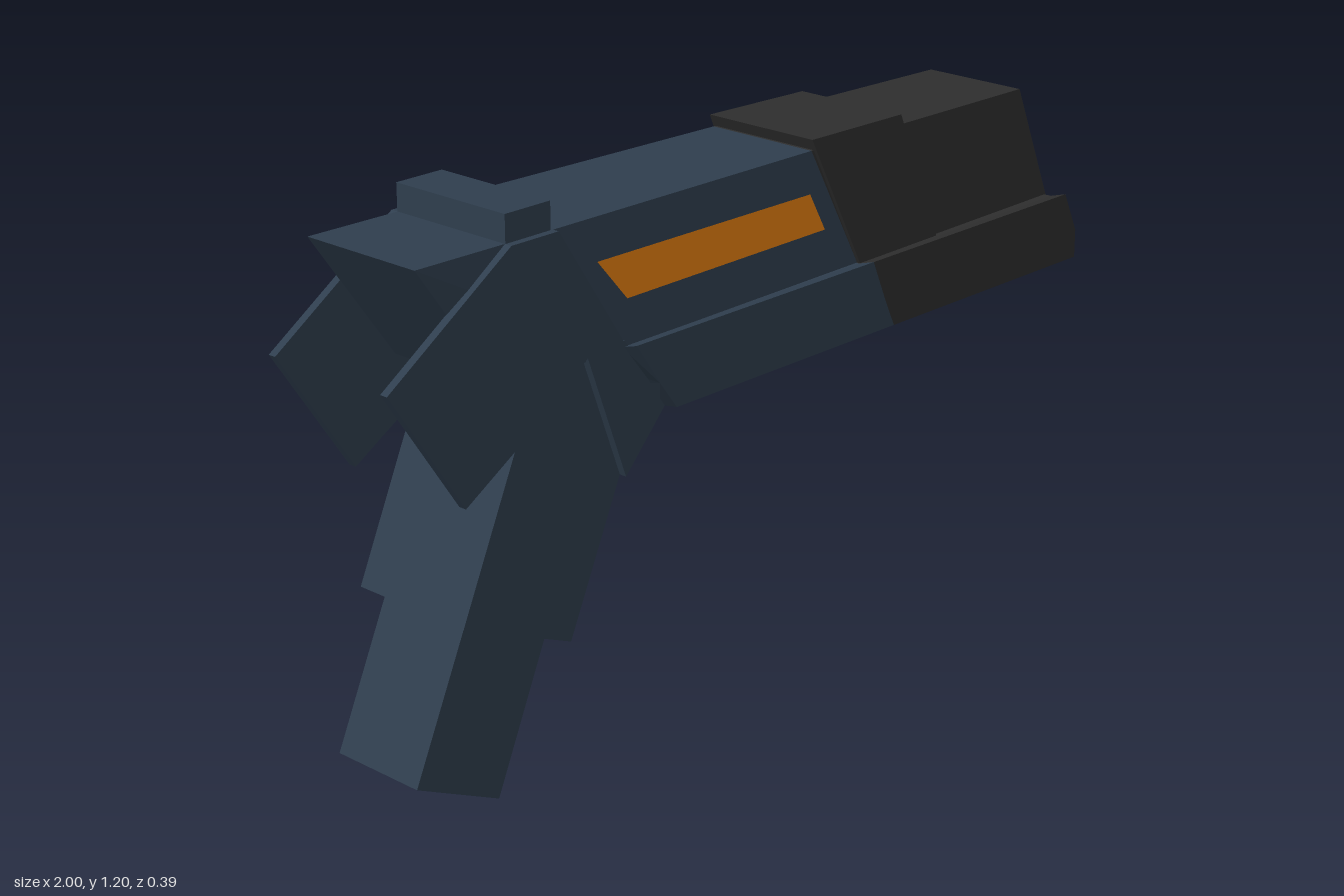
import * as THREE from 'three';

const paint = (color) => new THREE.MeshStandardMaterial({ color, flatShading: true });
const BLUE = paint(0x2f3e4e), DARK = paint(0x2e2e2e), ORANGE = paint(0xe07c10);

export function createModel() {
  const model = new THREE.Group();
  const add = (name, geometry, material) => {
    const mesh = new THREE.Mesh(geometry, material);
    mesh.name = name;
    model.add(mesh);
  };

  // Side profile extruded across z from z0 to z1
  const slab = (name, pts, z0, z1, material) => {
    const shape = new THREE.Shape(pts.map(([x, y]) => new THREE.Vector2(x, y)));
    const g = new THREE.ExtrudeGeometry(shape, { depth: z1 - z0, bevelEnabled: false });
    g.translate(0, 0, z0);
    add(name, g, material);
  };

  // Half section [x, y, z] from top to bottom on +z, mirrored to a full ring
  const ring = (half) => [
    ...half,
    ...half.filter((p) => p[2] > 0).reverse().map(([x, y, z]) => [x, y, -z]),
  ];

  // Closed solid through rings ordered from rear to front
  const loft = (name, halves, material) => {
    const rings = halves.map(ring), n = rings[0].length, pos = [];
    const tri = (a, b, c) => pos.push(...a, ...b, ...c);
    for (let s = 0; s < rings.length - 1; s++) {
      for (let i = 0; i < n; i++) {
        const j = (i + 1) % n, r = rings[s], f = rings[s + 1];
        tri(r[i], r[j], f[j]);
        tri(r[i], f[j], f[i]);
      }
    }
    const rear = rings[0], front = rings[rings.length - 1];
    const flat = (r) => r.map((p) => new THREE.Vector2(-p[2], p[1]));
    for (const [a, b, c] of THREE.ShapeUtils.triangulateShape(flat(front), [])) tri(front[a], front[b], front[c]);
    for (const [a, b, c] of THREE.ShapeUtils.triangulateShape(flat(rear), [])) tri(rear[a], rear[c], rear[b]);
    const g = new THREE.BufferGeometry();
    g.setAttribute('position', new THREE.Float32BufferAttribute(pos, 3));
    g.computeVertexNormals();
    add(name, g, material);
  };

  // Half width of the tapering upper body at a given x and y
  const width = (x, y) => 0.146 - 0.016 * Math.max(0, x + 0.57) + 0.06 * (1.13 - y);
  const upper = (xTop, yTop, xLow, grow = 0) => [
    [xTop, yTop, width(xTop, yTop) + grow],
    [xLow, 0.86, width(xLow, 0.86) + grow],
  ];

  // Upper body, split on a slanted line into rear and muzzle
  const rearEnd = [[-0.91, 1.14, 0.146], [-0.71, 0.86, 0.146]];
  const waist = [[-0.57, 1.137, 0.146], [-0.385, 0.86, 0.158]];
  loft('upperBody', [rearEnd, waist, upper(0.17, 1.13, 0.305)], BLUE);
  loft('muzzle', [upper(0.17, 1.13, 0.305), upper(0.87, 1.12, 0.963)], DARK);
  loft('muzzleCollar', [upper(0.165, 1.155, 0.305, 0.008), upper(0.45, 1.15, 0.56, 0.008)], DARK);

  // Wide lower rail, with a V groove below that deepens toward the nose
  const rail = (x, apexX, apexY) => [
    [x[0], 0.865, 0.155], [x[0], 0.877, 0.195], [x[1], 0.785, 0.195],
    [x[2], 0.722, 0.195], [x[2], 0.715, 0.15], [apexX, apexY, 0],
  ];
  const railRear = rail([-0.4, -0.337, -0.29], -0.29, 0.72);
  const railSplit = rail([0.3, 0.34, 0.37], 0.37, 0.755);
  const railNose = rail([0.957, 1, 1], 0.998, 0.79);
  loft('rearRail', [railRear, railSplit], BLUE);
  loft('frontRail', [railSplit, railNose], DARK);

  // Side stripes lying just proud of the tapered sides
  for (const side of [1, -1]) {
    const pts = [[-0.46, 1.05], [-0.385, 0.96], [0.2, 0.96], [0.158, 1.043]]
      .map(([x, y]) => [x, y, side * (width(x, y) + 0.003)]);
    const order = side > 0 ? [0, 1, 2, 0, 2, 3] : [0, 2, 1, 0, 3, 2];
    const g = new THREE.BufferGeometry();
    g.setAttribute('position', new THREE.Float32BufferAttribute(order.flatMap((i) => pts[i]), 3));
    g.computeVertexNormals();
    add(side > 0 ? 'leftStripe' : 'rightStripe', g, ORANGE);
  }

  // Thin rear cheek plates
  const cheek = [[-1, 0.93], [-0.82, 0.66], [-0.68, 0.745], [-0.5, 0.87], [-0.4, 0.875], [-0.57, 1.138], [-0.69, 1.138]];
  slab('leftCheekPlate', cheek, 0.145, 0.163, BLUE);
  slab('rightCheekPlate', cheek, -0.163, -0.145, BLUE);

  // Solid block joining body and grip
  slab('gripBlock', [[-0.5, 0.872], [-0.4, 0.6], [-0.29, 0.718], [-0.4, 0.88]], -0.163, 0.163, BLUE);

  // Two-stage grip
  slab('upperGrip', [[-0.82, 0.41], [-0.54, 0.29], [-0.4, 0.6], [-0.45, 0.9], [-0.6, 0.9]], -0.146, 0.146, BLUE);
  slab('lowerGrip', [[-0.92, 0.1], [-0.71, 0], [-0.57, 0.32], [-0.78, 0.41]], -0.112, 0.112, BLUE);

  // Rear sight
  slab('rearSight', [[-0.69, 1.13], [-0.575, 1.13], [-0.575, 1.195], [-0.69, 1.195]], -0.147, 0.147, BLUE);

  return model;
}
